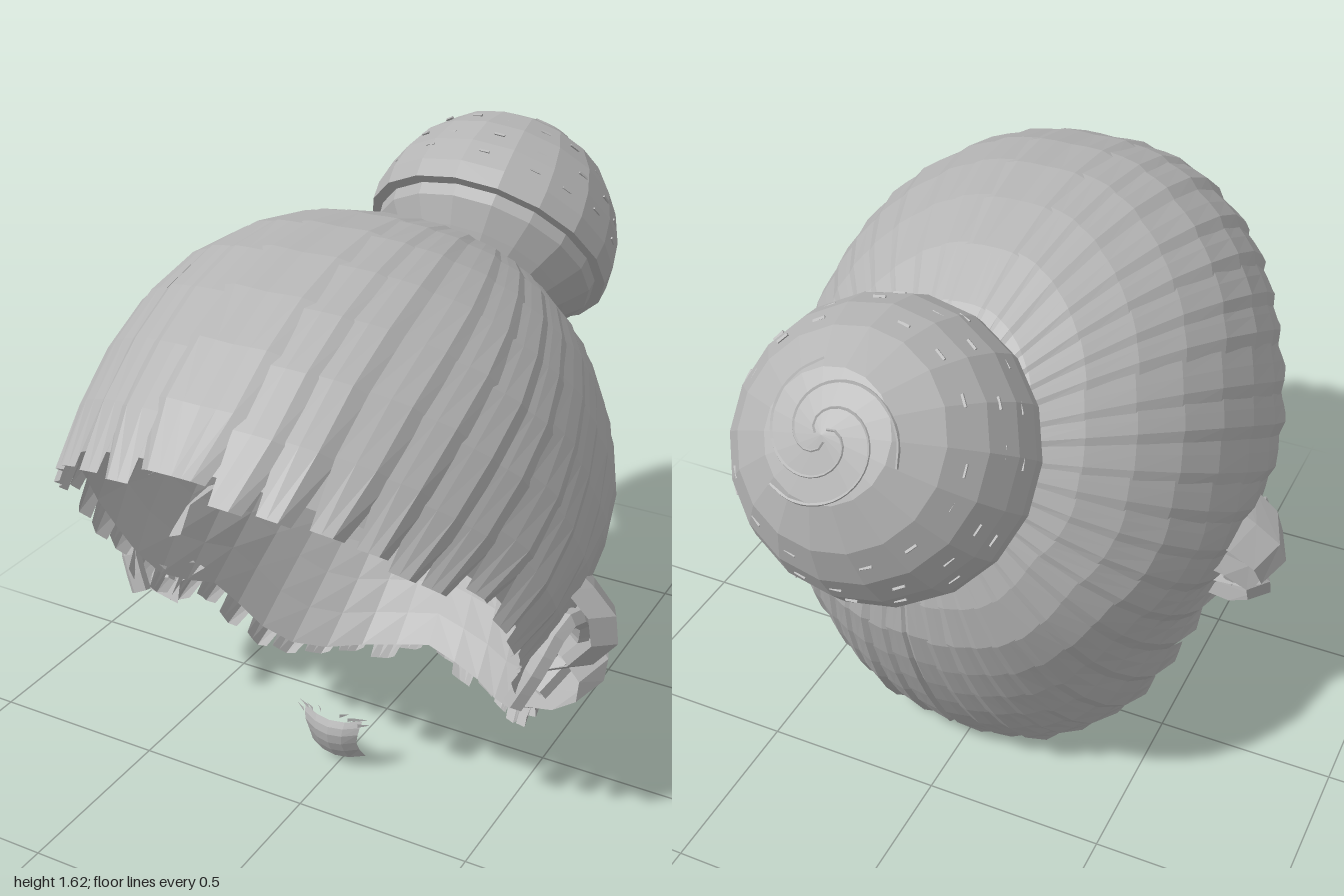
import * as THREE from 'three';
import { mergeGeometries } from 'three/addons/utils/BufferGeometryUtils.js';

const V = (x, y, z) => new THREE.Vector3(x, y, z);
const { smoothstep, lerp, clamp } = THREE.MathUtils;
const CENTRE = V(0, 0.7, 0.27);
const SEMI = V(0.665, 0.88, 0.88);

// Open sheet whose points come from f(u, v), with u along the rows
function sheet(rows, cols, f) {
  const pos = [], idx = [];
  for (let i = 0; i <= rows; i++)
    for (let j = 0; j <= cols; j++) pos.push(...f(i / rows, j / cols).toArray());
  for (let i = 0; i < rows; i++)
    for (let j = 0; j < cols; j++) {
      const a = i * (cols + 1) + j, b = a + cols + 1;
      idx.push(a, b, a + 1, a + 1, b, b + 1);
    }
  const g = new THREE.BufferGeometry();
  g.setAttribute('position', new THREE.Float32BufferAttribute(pos, 3));
  g.setIndex(idx);
  g.computeVertexNormals();
  return g;
}

// Seeded random numbers
let seed = 7;
const rnd = () => (seed = (seed * 16807) % 2147483647) / 2147483647;

const toDir = (p) => p.clone().sub(CENTRE).divide(SEMI).normalize();
const ROOT = toDir(V(0, 1.14, -0.45));

// Hairline on the left half, from the fringe round to the nape
const hairline = new THREE.CatmullRomCurve3([
  V(0, 1.24, 1.0), V(0.2, 1.22, 0.98), V(0.38, 1.15, 0.9), V(0.51, 1.06, 0.79),
  V(0.61, 0.89, 0.61), V(0.65, 0.71, 0.49), V(0.66, 0.5, 0.38), V(0.64, 0.41, 0.28), V(0.61, 0.34, 0.14),
  V(0.56, 0.21, 0.05), V(0.5, 0.11, 0.0), V(0.4, 0.03, -0.08), V(0.2, 0.01, -0.22), V(0, 0.01, -0.29),
]);

// Point on the skull: t runs along the hairline, u from the bun to the hairline
function skull(t, u, lift) {
  const end = toDir(hairline.getPointAt(clamp(t, 0, 1)));
  const ang = ROOT.angleTo(end);
  const d = ROOT.clone().multiplyScalar(Math.sin((1 - u) * ang))
    .addScaledVector(end, Math.sin(u * ang)).normalize();
  const r = Math.pow(Math.abs(d.x) ** 2.3 + Math.hypot(d.y, d.z) ** 2.3, -1 / 2.3);
  const nape = d.y < 0 && d.z < 0 ? 0.19 * d.y * d.z ** 3 : 0;
  const fringe = 0.025 * smoothstep(d.z, 0.55, 0.85);
  const p = d.multiplyScalar(r * (1 - nape + fringe + lift)).multiply(SEMI).add(CENTRE);
  // Narrow the sides below the temples and towards the fringe
  p.x *= (1 - 0.13 * (1 - smoothstep(p.y, 0.4, 0.85))) * (1 - 0.085 * smoothstep(p.z, 0.25, 0.8));
  return p;
}

// Overlapping strands with tapered tips, the first meeting its mirror image
function strands() {
  const parts = [], N = 22;
  for (let k = 0; k < N; k++) {
    const reach = 0.995 + 0.03 * rnd() - (k > 0.8 * N ? 0.015 : 0), skew = (rnd() - 0.5) * 0.25;
    const sides = Math.sin(Math.PI * k / N);
    const height = 0.014 + 0.016 * rnd() + 0.014 * sides;
    const start = k && k - 0.15 * rnd(), wide = 1.15 + 0.2 * rnd();
    parts.push(sheet(9, 3, (u, v) => {
      const tip = smoothstep(u, 0.88, 1);
      const s = lerp(v * wide, k ? 0.5 + (v - 0.5) * 0.75 + skew : v * 0.8, tip);
      const edge = v === 1 ? -0.006 : v * height;
      return skull((start + s) / N, 0.12 + u * (reach - 0.12), edge * (0.2 + 0.8 * u * u));
    }));
  }
  return mergeGeometries(parts);
}

// Bun profile: rounded underside, stepped lip, domed crown
const AXIS_TILT = -Math.atan2(0.79, 0.62);
const bunProfile = [
  [0, -0.27], [0.1, -0.25], [0.19, -0.18], [0.27, -0.1], [0.325, -0.04], [0.33, -0.005],
  [0.36, -0.005], [0.365, 0.05], [0.352, 0.13], [0.315, 0.22], [0.25, 0.305], [0.15, 0.37], [0, 0.4],
];
function bunHeight(r) {
  const i = bunProfile.findIndex((p, n) => n > 7 && p[0] <= r);
  const [r1, h1] = bunProfile[i], [r0, h0] = bunProfile[i - 1];
  return h0 + (h1 - h0) * (r - r0) / (r1 - r0);
}

export function createModel() {
  const model = new THREE.Group();
  const hair = new THREE.MeshStandardMaterial({ color: 0xb4b4b4, flatShading: true, side: THREE.DoubleSide });
  hair.name = 'grey hair';
  const add = (parent, name, geo) => {
    const m = new THREE.Mesh(geo, hair);
    m.name = name;
    parent.add(m);
  };

  // Outer strands and inner lining, one half mirrored to the other
  const outer = strands();
  const lining = sheet(10, 20, (u, v) => skull(v, 0.13 + u * 0.85, -0.025));

  // Side curls: two folded locks and an arched lock
  const lock = (pts, zWidth, slant) => {
    const c = new THREE.CatmullRomCurve3(pts);
    return sheet(5, 2, (u, v) => {
      const p = c.getPoint(u);
      const k = (v - 0.5) * zWidth * (1 - 0.35 * u);
      return p.add(V(-Math.abs(v - 0.5) * 0.08, k * slant, k));
    });
  };
  const curls = mergeGeometries([
    lock([V(0.62, 0.74, 0.14), V(0.69, 0.69, 0.15), V(0.765, 0.61, 0.17), V(0.73, 0.53, 0.2), V(0.58, 0.47, 0.24)], 0.22, 0.35),
    lock([V(0.58, 0.6, 0.12), V(0.69, 0.55, 0.14), V(0.74, 0.48, 0.17), V(0.69, 0.42, 0.19), V(0.56, 0.4, 0.22)], 0.22, -0.3),
  ]);
  const arch = new THREE.TubeGeometry(new THREE.CatmullRomCurve3([
    V(0.57, 0.46, 0.39), V(0.62, 0.57, 0.36), V(0.65, 0.66, 0.28), V(0.66, 0.62, 0.18), V(0.63, 0.5, 0.16), V(0.58, 0.42, 0.26),
  ]), 12, 0.028, 5);

  for (const side of [1, -1]) {
    const half = new THREE.Group();
    half.name = side > 0 ? 'leftHair' : 'rightHair';
    half.scale.x = side;
    add(half, 'strands', outer);
    add(half, 'lining', lining);
    add(half, 'sideCurl', curls);
    add(half, 'archedLock', arch);
    model.add(half);
  }

  // Bun, tipped up and back
  const bun = new THREE.Group();
  bun.name = 'bun';
  bun.position.set(0, 1.243, -0.612);
  bun.rotation.x = AXIS_TILT;
  add(bun, 'bunBody', new THREE.LatheGeometry(bunProfile.map(([r, h]) => new THREE.Vector2(r, h)), 18));

  // Swirl on the crown of the bun
  for (let a = 0; a < 3; a++) {
    const pts = [];
    for (let i = 0; i <= 16; i++) {
      const r = 0.015 + 0.155 * i / 16, ang = a * Math.PI * 2 / 3 + 5.4 * i / 16;
      pts.push(V(r * Math.cos(ang), bunHeight(r) - 0.003, r * Math.sin(ang)));
    }
    add(bun, 'swirl', new THREE.TubeGeometry(new THREE.CatmullRomCurve3(pts), 28, 0.006, 4));
  }

  // Short loose hairs in rings round the bun
  const flecks = [];
  for (const r of [0.357, 0.335, 0.285])
    for (let i = 0; i < 16; i++) {
      const g = new THREE.BoxGeometry(0.03, 0.006, 0.006);
      g.translate(0, bunHeight(r) + (rnd() - 0.5) * 0.02, r - 0.004);
      g.rotateY((i + rnd() * 0.5) * Math.PI / 8);
      flecks.push(g);
    }
  add(bun, 'looseHairs', mergeGeometries(flecks));
  model.add(bun);

  // Chin tuft with a few whiskers at its top corners
  const chin = new THREE.CatmullRomCurve3([V(0.09, 0.18, 0.335), V(0.085, 0.15, 0.35), V(0.075, 0.1, 0.342), V(0.085, 0.045, 0.31)]);
  add(model, 'chinTuft', sheet(5, 4, (u, v) => {
    const p = chin.getPoint(u), s = v * 2 - 1;
    return V(p.x * s, p.y + 0.01 * s * s, p.z - 0.025 * s * s);
  }));
  const whiskers = [];
  for (const s of [1, -1])
    for (const [x, y, len] of [[0.09, 0.2, 0.04], [0.07, 0.195, 0.03], [0.1, 0.185, 0.03], [0.04, 0.2, 0.02]])
      whiskers.push(sheet(1, 1, (u, v) => V(s * (x + (u - 0.5) * len), y + (v - 0.5) * 0.012 * (1 - u), 0.33 - 0.02 * u)));
  add(model, 'whiskers', mergeGeometries(whiskers));
  return model;
}
